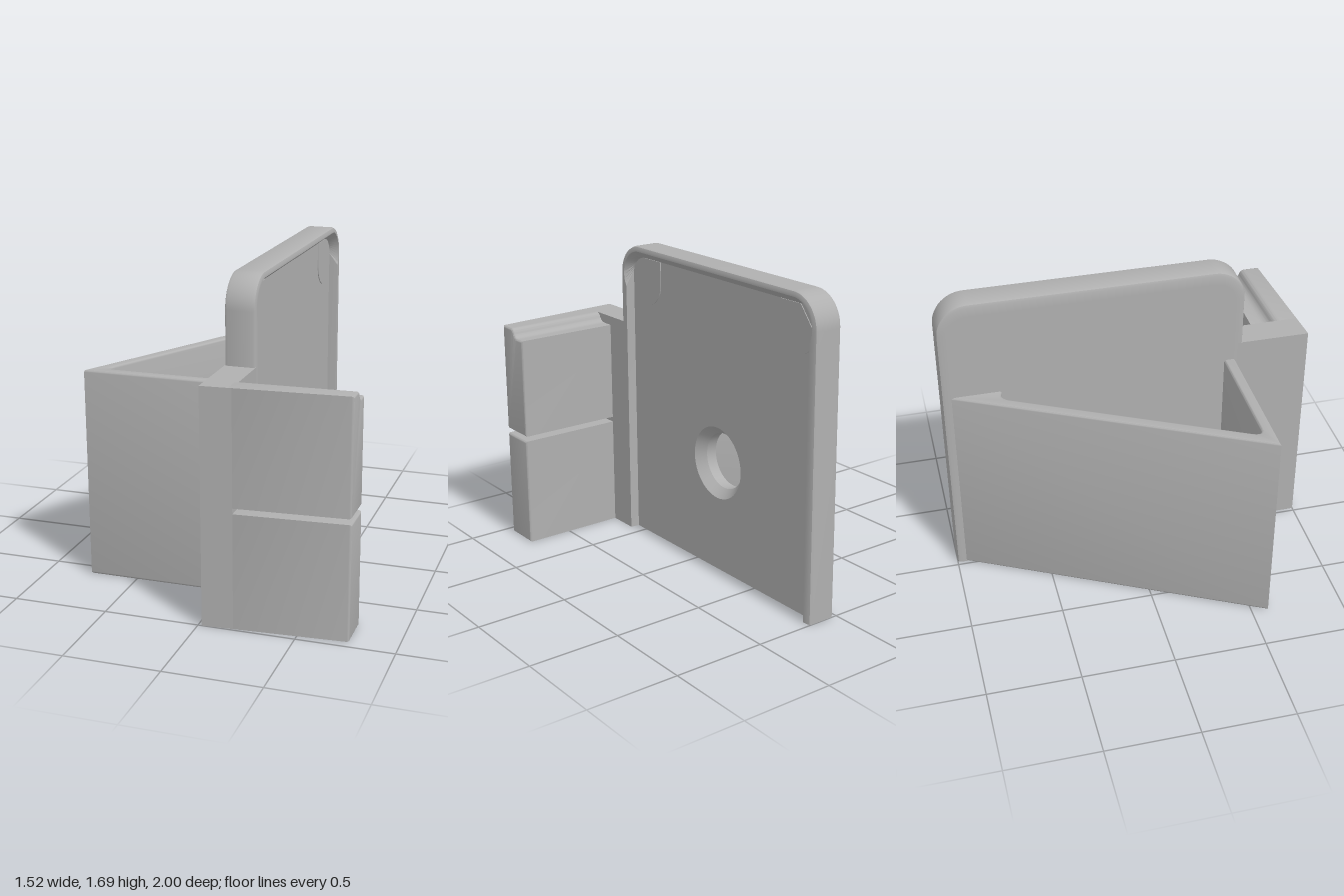
import * as THREE from 'three';
import { toCreasedNormals } from 'three/addons/utils/BufferGeometryUtils.js';

const grey = new THREE.MeshStandardMaterial({ color: 0xb0b0b0, side: THREE.DoubleSide });
grey.name = 'grey plastic';

const MID = -0.185; // z of the plate's centre line
const HOLE = [-0.18, 0.615]; // z, y of the screw hole

// Half a plate outline as [u, y], mirrored about MID: straight side, then corner arc
function outline(side, ru, ry = ru, start = 0) {
  const half = [[side, 0]];
  for (let i = 0; i <= 14; i++) {
    const a = start + (Math.PI / 2 - start) * i / 14;
    half.push([0.645 + ru * Math.cos(a), 1.52 + ry * Math.sin(a)]);
  }
  return [...half, ...half.slice().reverse().map(([u, y]) => [-u, y])];
}

// Raised border: a closed cross-section swept up, over and down the plate
function borderGeometry() {
  const outer = (inset) => outline(0.815 - inset, 0.17 - inset);
  const floor = outline(0.76, 0.115, 0.1);
  const loops = [
    [0.02, outer(0.018)], [0.025, outer(0.005)], [0.038, outer(0)],
    [0.162, outer(0)], [0.175, outer(0.005)], [0.18, outer(0.018)],
    [0.18, outline(0.765, 0.14, 0.14, -0.54)], [0.13, floor], [0.02, floor],
  ];
  const n = loops[0][1].length, m = loops.length, pos = [], idx = [];
  for (const [x, pts] of loops) for (const [u, y] of pts) pos.push(x, y, MID + u);
  for (let k = 0; k < m; k++) {
    for (let j = 0; j < n - 1; j++) {
      const a = k * n + j, b = ((k + 1) % m) * n + j;
      idx.push(a, b, b + 1, a, b + 1, a + 1);
    }
  }
  for (let k = 1; k < m - 1; k++) { // feet
    idx.push(0, (k + 1) * n, k * n);
    idx.push(n - 1, k * n + n - 1, (k + 1) * n + n - 1);
  }
  const g = new THREE.BufferGeometry();
  g.setAttribute('position', new THREE.Float32BufferAttribute(pos, 3));
  g.setIndex(idx);
  return g;
}

// Extrude a shape drawn in (-z, y) along x from x0 to x1
function extrudeX(shape, x0, x1, bevel = 0) {
  const g = new THREE.ExtrudeGeometry(shape, {
    depth: x1 - x0 - 2 * bevel, curveSegments: 24, bevelEnabled: bevel > 0,
    bevelSize: bevel, bevelThickness: bevel, bevelOffset: -bevel, bevelSegments: 3,
  });
  return g.rotateY(Math.PI / 2).translate(x0 + bevel, 0, 0);
}

// Recessed plate floor with a round hole
function floorGeometry(x0, x1, radius) {
  const s = new THREE.Shape(outline(0.76, 0.115, 0.1).map(([u, y]) => new THREE.Vector2(-(MID + u), y)));
  s.holes.push(new THREE.Path().absarc(-HOLE[0], HOLE[1], radius, 0, Math.PI * 2, true));
  return extrudeX(s, x0, x1);
}

// Front of the clip leans back towards its free end
function taper(g) {
  const p = g.attributes.position;
  for (let i = 0; i < p.count; i++) {
    const x = p.getX(i), z = p.getZ(i);
    const w = Math.max(0, (z - 0.75) / 0.25);
    p.setZ(i, z - 0.05 * w * (x - 0.02) / 0.74);
  }
  return g;
}

export function createModel() {
  const model = new THREE.Group();
  const add = (name, g) => {
    const mesh = new THREE.Mesh(toCreasedNormals(g, 0.6), grey);
    mesh.name = name;
    model.add(mesh);
  };

  // Upright plate
  add('plateBorder', borderGeometry());
  add('plateBack', floorGeometry(0.02, 0.08, 0.155));
  add('plateFloor', floorGeometry(0.08, 0.13, 0.2));

  // Countersink cone, wide end at the plate floor
  const cone = new THREE.CylinderGeometry(0.155, 0.2, 0.05, 48, 1, true);
  add('countersink', cone.rotateZ(Math.PI / 2).translate(0.105, HOLE[1], HOLE[0]));

  // Thin rounded pads in the two upper corners
  for (const side of [1, -1]) {
    const c = -(MID + side * 0.628);
    const s = new THREE.Shape();
    s.moveTo(c - 0.125, 1.49);
    s.absarc(c, 1.49, 0.125, Math.PI, Math.PI * 2, false);
    s.lineTo(c + (side > 0 ? 0.125 : 0.02), 1.62);
    s.lineTo(c - (side > 0 ? 0.02 : 0.125), 1.62);
    add('cornerPad', extrudeX(s, 0.128, 0.134));
  }

  // Triangular pocket wall behind the plate, drawn in (x, -z)
  const w = new THREE.Shape();
  w.moveTo(-0.76, -0.59);
  w.lineTo(0.04, -0.59);
  w.lineTo(0.04, -0.53);
  w.lineTo(-0.61, -0.53);
  w.quadraticCurveTo(-0.663, -0.53, -0.635, -0.475);
  w.lineTo(-0.06, 0.66);
  w.quadraticCurveTo(-0.03, 0.71, 0.02, 0.685);
  w.lineTo(0.04, 0.675);
  w.lineTo(0.04, 0.95);
  w.lineTo(0.02, 0.95);
  const wall = new THREE.ExtrudeGeometry(w, {
    depth: 1.116, curveSegments: 10, bevelSize: 0.012, bevelThickness: 0.012,
    bevelOffset: -0.012, bevelSegments: 3,
  });
  add('pocketWall', wall.rotateX(-Math.PI / 2).translate(0, 0.012, 0));

  // Clip spine joining plate and arm
  add('clipSpine', taper(new THREE.BoxGeometry(0.16, 1.24, 0.4).translate(0.1, 0.62, 0.8)));

  // Clip arm, split by a narrow slot
  const lower = new THREE.Shape();
  lower.moveTo(-1, 0);
  lower.lineTo(-0.75, 0);
  lower.lineTo(-0.75, 0.608);
  lower.lineTo(-1, 0.608);
  add('clipArmLower', taper(extrudeX(lower, 0.15, 0.76, 0.012)));

  const upper = new THREE.Shape();
  upper.moveTo(-1, 0.637);
  upper.lineTo(-0.75, 0.637);
  upper.lineTo(-0.75, 1.19);
  upper.lineTo(-0.81, 1.19);
  upper.quadraticCurveTo(-0.845, 1.19, -0.86, 1.215);
  upper.quadraticCurveTo(-0.87, 1.24, -0.9, 1.24);
  upper.lineTo(-1, 1.24);
  add('clipArmUpper', taper(extrudeX(upper, 0.15, 0.76, 0.012)));

  return model;
}
